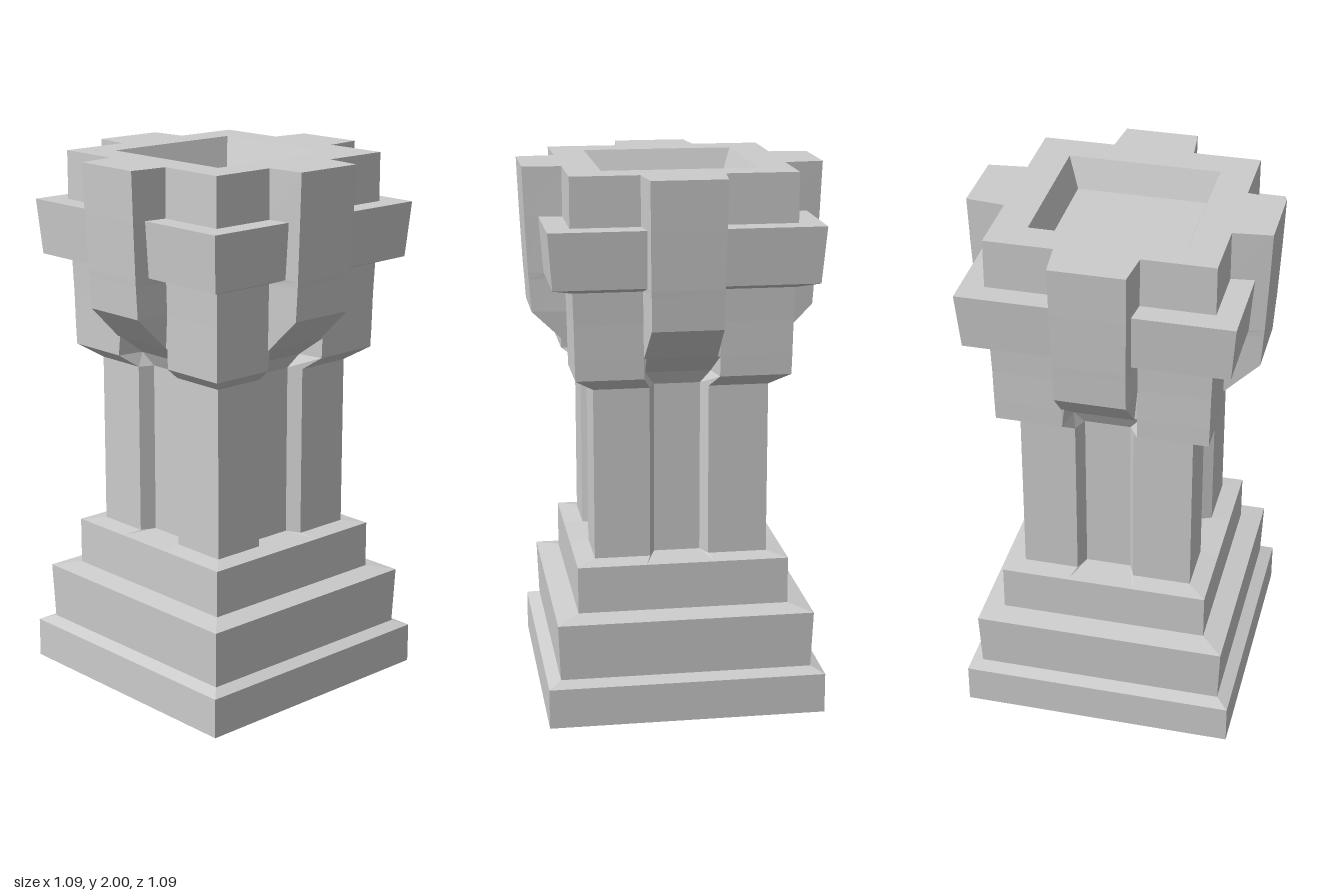
import * as THREE from 'three';

const material = new THREE.MeshStandardMaterial({ color: 0xcccccc, flatShading: true, side: THREE.DoubleSide });

// Square section whose four sides each carry a central groove (f < h) or rib (f > h).
// h: half width, g: half width of the groove or rib at its root, k: at its face, f: face distance.
function section([y, h, g = h * 0.35, k = h * 0.3, f = h]) {
  const o = f === h ? 0 : -0.007; // slight hand-cut offset, repeated around the column
  const side = [[-h, h], [-g + o, h], [-k + o, f], [k + o, f], [g + o, h]];
  const ring = [];
  for (let q = 0; q < 4; q++) {
    for (const [a, b] of side) {
      let x = a, z = b;
      for (let r = 0; r < q; r++) [x, z] = [z, -x];
      ring.push([x, y, z]);
    }
  }
  return ring;
}

// Skin a stack of sections with flat faces
function loft(name, rows) {
  const rings = rows.map(section);
  const pos = [];
  for (let r = 0; r < rings.length - 1; r++) {
    const lo = rings[r], hi = rings[r + 1], n = lo.length;
    for (let i = 0; i < n; i++) {
      const j = (i + 1) % n;
      for (const p of [lo[i], lo[j], hi[j], lo[i], hi[j], hi[i]]) pos.push(...p);
    }
  }
  const geo = new THREE.BufferGeometry();
  geo.setAttribute('position', new THREE.Float32BufferAttribute(pos, 3));
  geo.computeVertexNormals();
  const mesh = new THREE.Mesh(geo, material);
  mesh.name = name;
  return mesh;
}

export function createModel() {
  const group = new THREE.Group();
  group.name = 'stonePedestal';

  const shaftFoot = [0.58, 0.32, 0.108, 0.085, 0.265];
  const shaftHead = [1.22, 0.32, 0.108, 0.085, 0.265];
  const rim = [2, 0.28];

  // Stepped plinth, open underneath
  group.add(loft('steppedBase', [
    [0, 0.512], [0.15, 0.512], [0.168, 0.465],
    [0.38, 0.473], [0.395, 0.39], [0.57, 0.39], shaftFoot,
  ]));

  // Shaft with a groove down each side
  group.add(loft('groovedShaft', [shaftFoot, shaftHead]));

  // Capital: flared block, corner collar and four bracket ribs growing out of the grooves
  group.add(loft('ribbedCapital', [
    shaftHead,
    [1.27, 0.39, 0.137, 0.12, 0.29],
    [1.345, 0.392, 0.138, 0.128, 0.39],
    [1.47, 0.394, 0.14, 0.128, 0.52],
    [1.59, 0.398, 0.141, 0.129, 0.528],
    [1.615, 0.474, 0.136, 0.13, 0.53],
    [1.82, 0.49, 0.138, 0.133, 0.54],
    [1.82, 0.405, 0.148, 0.133, 0.54],
    [2, 0.405, 0.15, 0.135, 0.547],
    rim,
  ]));

  // Sunken square in the top
  group.add(loft('topRecess', [rim, [1.89, 0.24]]));
  const floor = new THREE.Mesh(new THREE.PlaneGeometry(0.48, 0.48).rotateX(-Math.PI / 2), material);
  floor.position.y = 1.89;
  floor.name = 'recessFloor';
  group.add(floor);

  return group;
}
